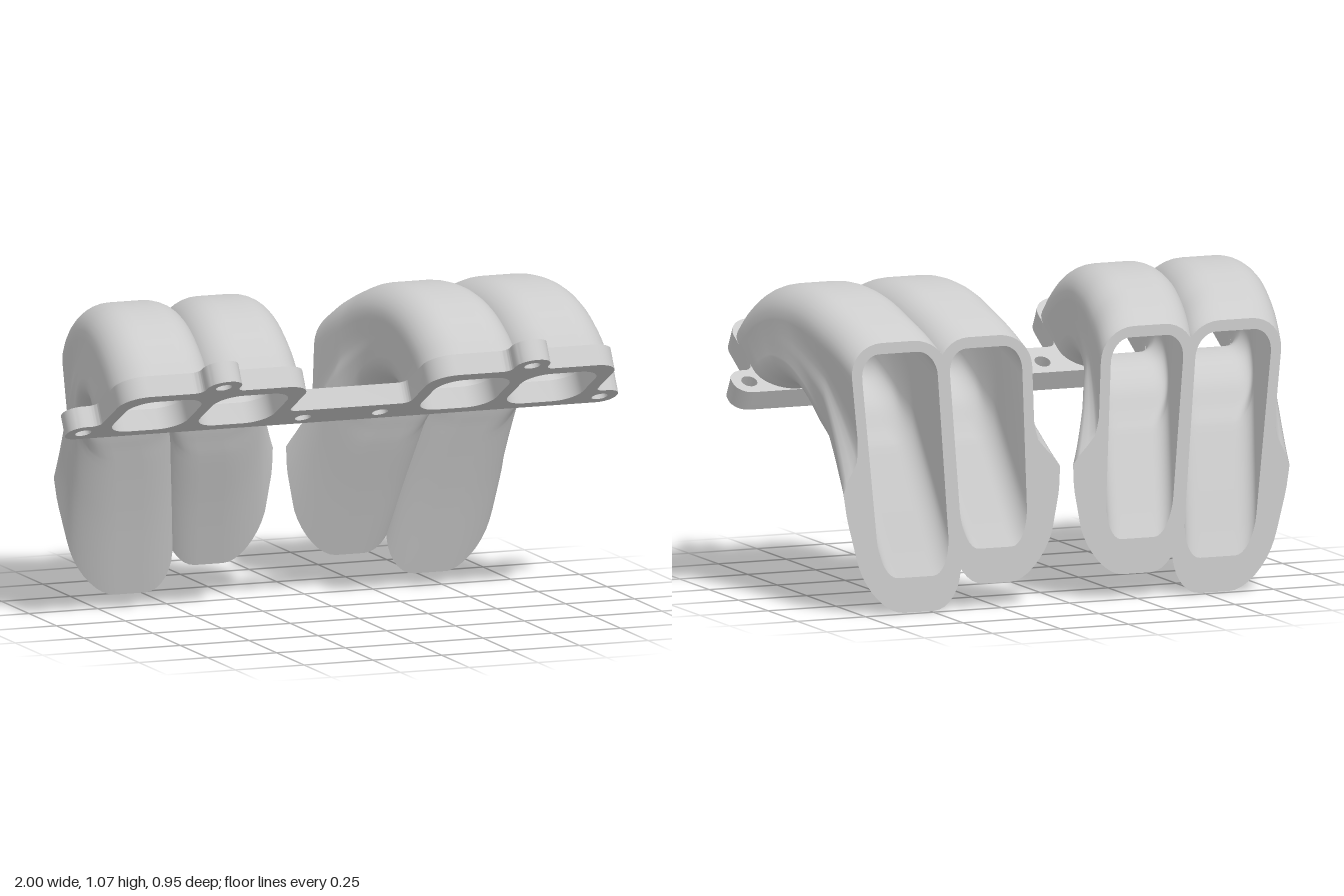
import * as THREE from 'three';
import { toCreasedNormals } from 'three/addons/utils/BufferGeometryUtils.js';

const STEPS = 48;
const lerp = THREE.MathUtils.lerp;
const material = new THREE.MeshStandardMaterial({ color: 0xcccccc, side: THREE.DoubleSide });

// Side-view curve through [z, y] points
const sideCurve = (pts) => new THREE.CatmullRomCurve3(pts.map(([z, y]) => new THREE.Vector3(0, y, z)));

const outerBend = sideCurve([[0.332, 0.895], [0.26, 0.962], [0.15, 1.03], [0.04, 1.065], [-0.07, 1.075],
  [-0.2, 1.06], [-0.32, 1.018], [-0.4, 0.98], [-0.475, 0.93]]);
const innerBend = (endY) => sideCurve([[0.004, 0.712], [-0.03, 0.73], [-0.08, 0.735], [-0.17, 0.71], [-0.24, 0.645],
  [-0.278, 0.56], [-0.305, 0.49], [-0.385, 0.27 + endY * 0.4], [-0.475, endY]]);

// Swelling of the free side wall near the cut end, over section height w
function bump(w) {
  const keys = [[0, 0], [0.2, 0.6], [0.36, 0.93], [0.46, 1], [0.51, 0.6], [0.56, 0.15], [0.63, 0], [1, 0]];
  for (let i = 1; i < keys.length; i++) {
    const [a, va] = keys[i - 1], [b, vb] = keys[i];
    if (w <= b) return lerp(va, vb, (w - a) / (b - a));
  }
  return 0;
}

// Unit rounded rectangle, counterclockwise, with separate bottom and top radii
function roundedUnit(rx, ryBottom, ryTop) {
  const pts = [], corners = [[1, 0, -0.5], [1, 1, 0], [0, 1, 0.5], [0, 0, 1]];
  corners.forEach(([cx, cy, start], k) => {
    const ry = cy ? ryTop : ryBottom;
    const ox = cx ? 1 - rx : rx, oy = cy ? 1 - ry : ry;
    for (let i = 0; i <= 8; i++) {
      const a = (start + i / 16) * Math.PI;
      pts.push([ox + rx * Math.cos(a), oy + ry * Math.sin(a)]);
    }
    const [nx, ny] = corners[(k + 1) % 4];
    const nry = ny ? ryTop : ryBottom;
    const from = pts[pts.length - 1];
    const to = k % 2 ? [nx ? 1 - rx : rx, ny] : [nx, ny ? 1 - nry : nry];
    for (let i = 1; i < 18; i++) pts.push([lerp(from[0], to[0], i / 18), lerp(from[1], to[1], i / 18)]);
  });
  return pts;
}

// One cross-section of a runner wall (outside) or of its passage (inside)
function section(spec, t, inside) {
  const k = Math.pow(t, 1.7);
  const low = spec.bend.getPoint(t), high = outerBend.getPoint(t);
  const h = low.distanceTo(high);
  const w0 = inside ? (0.04 + 0.08 * t ** 6) / h : 0;
  const w1 = inside ? 1 - 0.038 / h : 1;
  const side = (s, w) => {
    const free = s.free;
    let x = lerp(s.start, lerp(s.endLow, s.endHigh, w), k);
    if (inside) x += free ? -free * (0.047 - 0.01 * k) : s.wall * 0.022;
    else x += free ? free * s.bump * bump(w) * t ** 5 : -s.wall * 0.018;
    return x;
  };
  const r = inside ? 0.085 : 0.115;
  const hh = h * (w1 - w0);
  return roundedUnit(r / 0.34, Math.min(0.45, (r + 0.05 * k) / hh), Math.min(0.45, r / hh)).map(([s, u]) => {
    const w = lerp(w0, w1, u);
    const p = low.clone().lerp(high, w);
    p.x = lerp(side(spec.left, w), side(spec.right, w), s);
    return p;
  });
}

// Skin a list of closed rings
function loft(rings, mirror, flip) {
  const n = rings[0].length, pos = [], index = [];
  rings.forEach((ring) => ring.forEach((p) => pos.push(p.x * mirror, p.y, p.z)));
  for (let i = 0; i < rings.length - 1; i++) {
    for (let j = 0; j < n; j++) {
      const a = i * n + j, b = i * n + (j + 1) % n, c = a + n, d = b + n;
      if ((mirror < 0) !== flip) index.push(a, b, c, b, d, c);
      else index.push(a, c, b, b, c, d);
    }
  }
  const g = new THREE.BufferGeometry();
  g.setAttribute('position', new THREE.Float32BufferAttribute(pos, 3));
  g.setIndex(index);
  g.computeVertexNormals();
  return g;
}

function part(name, geometry) {
  const m = new THREE.Mesh(geometry, material);
  m.name = name;
  return m;
}

// Hollow runner: outer wall, passage and cut rim
function runner(name, spec, mirror) {
  const group = new THREE.Group();
  group.name = name;
  const rings = (inside) => Array.from({ length: STEPS + 1 }, (_, i) => section(spec, i / STEPS, inside));
  const wall = rings(false), passage = rings(true);
  group.add(part('runnerWall', loft(wall, mirror, false)));
  group.add(part('runnerPassage', loft(passage, mirror, true)));
  group.add(part('runnerCutRim', loft([wall[STEPS], passage[STEPS]], mirror, false)));
  return group;
}

// Closed outline from right-angled corners [x, y, radius]
function roundedOutline(corners) {
  const shape = new THREE.Shape(), n = corners.length, v = (c) => new THREE.Vector2(c[0], c[1]);
  corners.forEach((c, i) => {
    const p = v(c);
    const toward = (q, d) => p.clone().add(v(q).sub(p).setLength(d));
    const prev = corners[(i + n - 1) % n], next = corners[(i + 1) % n];
    const a = toward(prev, c[2]), b = toward(next, c[2]);
    const ca = toward(prev, c[2] * 0.45), cb = toward(next, c[2] * 0.45);
    if (i) shape.lineTo(a.x, a.y); else shape.moveTo(a.x, a.y);
    shape.bezierCurveTo(ca.x, ca.y, cb.x, cb.y, b.x, b.y);
  });
  shape.closePath();
  return shape;
}

// Tilted mounting flange with ears, bolt holes and ports
function flange() {
  const half = [[1, 0, 0.055], [1, 0.122, 0.055], [0.9, 0.122, 0.03], [0.9, 0.4, 0.09], [0.622, 0.4, 0.03],
    [0.622, 0.504, 0.06], [0.498, 0.504, 0.06], [0.498, 0.4, 0.03], [0.22, 0.4, 0.09], [0.22, 0.137, 0.03]];
  const shape = roundedOutline([...half, ...half.map(([x, y, r]) => [-x, y, r]).reverse()]);
  for (const s of [1, -1]) {
    for (const [x, y] of [[0.14, 0.06], [0.938, 0.06], [0.56, 0.443]]) {
      shape.holes.push(new THREE.Path().absarc(s * x, y, 0.028, 0, Math.PI * 2, true));
    }
    for (const [a, b] of [[0.267, 0.538], [0.582, 0.853]]) {
      shape.holes.push(roundedOutline([[s * a, 0.044, 0.085], [s * b, 0.044, 0.085],
        [s * b, 0.342, 0.085], [s * a, 0.342, 0.085]]));
    }
  }
  const g = new THREE.ExtrudeGeometry(shape, { depth: 0.0745, bevelEnabled: false, curveSegments: 10 });
  const m = part('mountingFlange', toCreasedNormals(g, 0.6));
  m.rotation.x = 1.0627;
  m.position.y = 0.71;
  return m;
}

export function createModel() {
  const model = new THREE.Group();
  model.name = 'intakeManifold';
  model.add(flange());

  // free: direction of the exposed side; wall: direction into the passage at the shared side
  const inboard = {
    bend: innerBend(0.085),
    left: { start: 0.22, endLow: 0.1, endHigh: 0.13, free: -1, bump: 0.09 },
    right: { start: 0.56, endLow: 0.395, endHigh: 0.46, wall: -1 },
  };
  const outboard = {
    bend: innerBend(0.003),
    left: { start: 0.56, endLow: 0.395, endHigh: 0.46, wall: 1 },
    right: { start: 0.9, endLow: 0.71, endHigh: 0.8, free: 1, bump: 0.07 },
  };
  for (const [label, s] of [['left', 1], ['right', -1]]) {
    model.add(runner(label + 'InboardRunner', inboard, s));
    model.add(runner(label + 'OutboardRunner', outboard, s));
  }
  return model;
}
